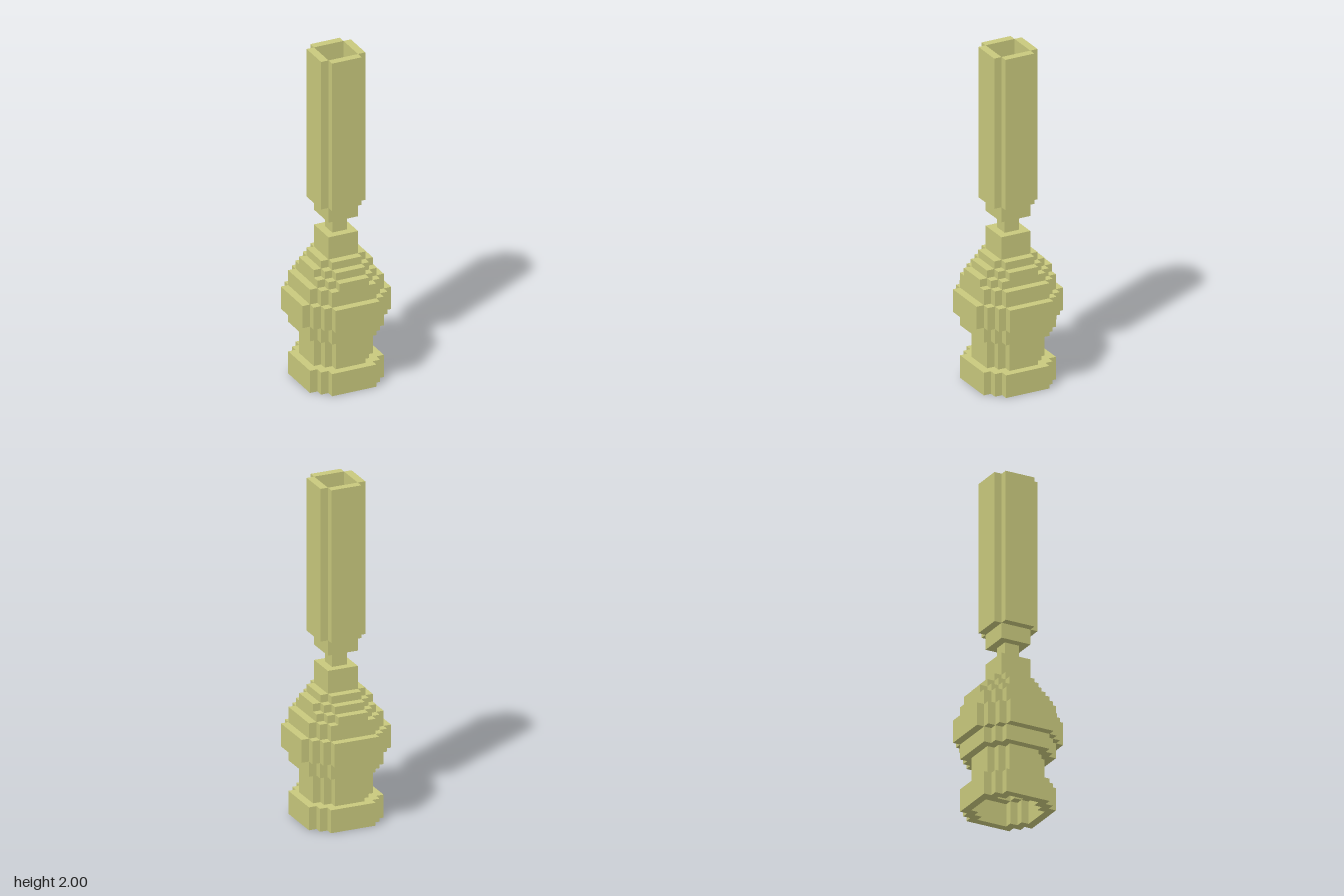
import * as THREE from 'three';

const U = 2 / 44; // one block

// Each layer: name, bottom, top, and half widths in x of the block rows z = 1, 2, 3...
const LAYERS = [
  ['baseRing', 0, 3, [5, 5, 5, 4, 3]],
  ['baseNeck', 3, 7, [4, 4, 3, 2]],
  ['bulbLower', 7, 9, [5, 5, 5, 4, 3]],
  ['bulbMiddle', 9, 12, [6, 6, 6, 5, 4, 3]],
  ['bulbUpper', 12, 14, [5, 5, 5, 4, 3]],
  ['bulbShoulder', 14, 15, [4, 4, 4, 3, 2]],
  ['bulbStep', 15, 16, [4, 4, 3, 2]],
  ['bulbCap', 16, 17, [3, 3, 2]],
  ['collar', 17, 20, [2, 2]],
  ['thinNeck', 20, 22, [1]],
  ['tubeSocket', 22, 24, [2, 2]],
  ['tube', 24, 44, [3, 3, 2]],
];

// Stepped outline of one layer, mirrored into all four quadrants
function outline(rows) {
  const q = [];
  rows.forEach((w, i) => {
    const next = rows[i + 1];
    if (next === w) return;
    q.push([w, i + 1]);
    if (next) q.push([next, i + 1]);
  });
  const r = [...q].reverse();
  return [
    ...q,
    ...r.map(([x, z]) => [-x, z]),
    ...q.map(([x, z]) => [-x, -z]),
    ...r.map(([x, z]) => [x, -z]),
  ].map(([x, z]) => new THREE.Vector2(x * U, z * U));
}

// Cavity one block inside the wall, kept within the neighbouring layers
function cavity(index) {
  const rows = LAYERS[index][3];
  const near = [LAYERS[index - 1], LAYERS[index + 1]].filter(Boolean);
  return rows
    .map((w, i) => Math.min(w - 1, rows[i + 1] ?? 0, ...near.map((n) => n[3][i] ?? 0)))
    .filter((w) => w > 0);
}

export function createModel() {
  const group = new THREE.Group();
  const olive = new THREE.MeshStandardMaterial({ color: 0xc9c97d });
  olive.name = 'paleOlive';

  LAYERS.forEach(([name, bottom, top, rows], index) => {
    const shape = new THREE.Shape(outline(rows));
    const inner = cavity(index);
    if (inner.length) shape.holes.push(new THREE.Path(outline(inner)));
    const geometry = new THREE.ExtrudeGeometry(shape, {
      depth: (top - bottom) * U,
      bevelEnabled: false,
    });
    geometry.rotateX(-Math.PI / 2);
    const mesh = new THREE.Mesh(geometry, olive);
    mesh.name = name;
    mesh.position.y = bottom * U;
    group.add(mesh);
  });
  return group;
}
